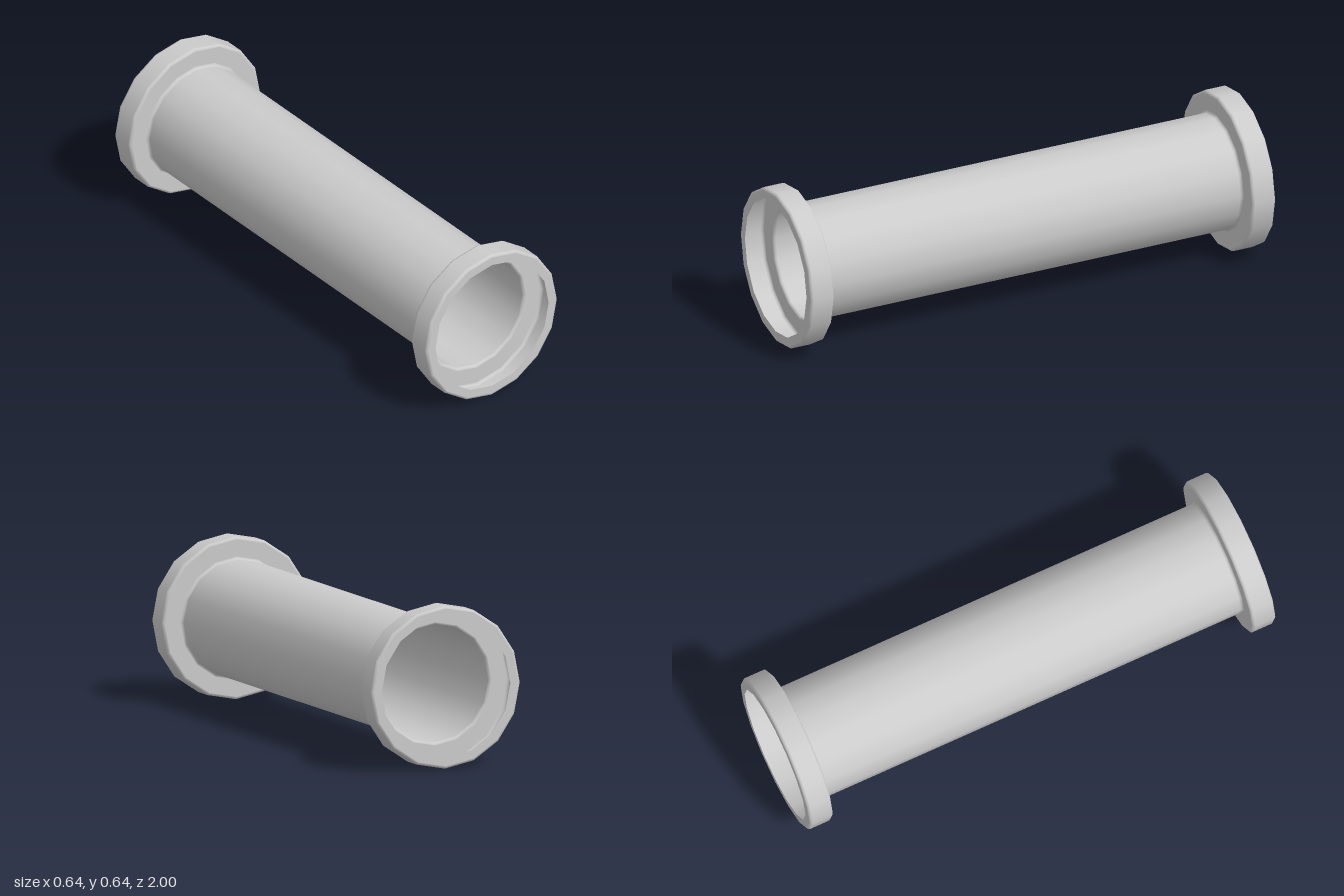
import * as THREE from 'three';

const SIDES = 16;
const R_TUBE = 0.232, R_LIP = 0.276, R_RIM = 0.32;
const Z_FLOOR = 0.9, Z_END = 1, BEVEL = 0.009;

const material = new THREE.MeshStandardMaterial({ color: 0xcccccc, side: THREE.DoubleSide });

// Sheet of revolution about z, from [radius, z] points running towards +z
function revolve(name, points) {
  const geometry = new THREE.LatheGeometry(points, SIDES);
  geometry.rotateX(Math.PI / 2);
  const mesh = new THREE.Mesh(geometry, material);
  mesh.name = name;
  return mesh;
}

// Small rounded corner at p, with support points that keep the flats flat
function corner(prev, p, next) {
  const a = prev.clone().sub(p).normalize();
  const b = next.clone().sub(p).normalize();
  const at = (u, v) => p.clone().addScaledVector(a, u * BEVEL).addScaledVector(b, v * BEVEL);
  return [at(1.2, 0), at(1, 0), at(0.3, 0.3), at(0, 1), at(0, 1.2)];
}

// Open cup: tube end, floor, outer wall and a lip turned inwards
function flangeProfile() {
  const v = [
    [R_TUBE, Z_FLOOR - 0.02], [R_TUBE, Z_FLOOR], [R_RIM, Z_FLOOR],
    [R_RIM, Z_END], [R_LIP, Z_END],
  ].map(([r, z]) => new THREE.Vector2(r, z));
  const points = [v[0]];
  for (let i = 1; i < v.length - 1; i++) points.push(...corner(v[i - 1], v[i], v[i + 1]));
  points.push(v[v.length - 1]);
  return points;
}

export function createModel() {
  const model = new THREE.Group();
  model.name = 'flangedPipe';

  // Thin open pipe
  const zTube = Z_FLOOR - 0.02;
  model.add(revolve('pipe', [new THREE.Vector2(R_TUBE, -zTube), new THREE.Vector2(R_TUBE, zTube)]));

  // A flange at each end, the back one mirrored
  const front = flangeProfile();
  const back = front.map((p) => new THREE.Vector2(p.x, -p.y)).reverse();
  model.add(revolve('frontFlange', front), revolve('backFlange', back));

  model.position.y = R_RIM;
  return model;
}
